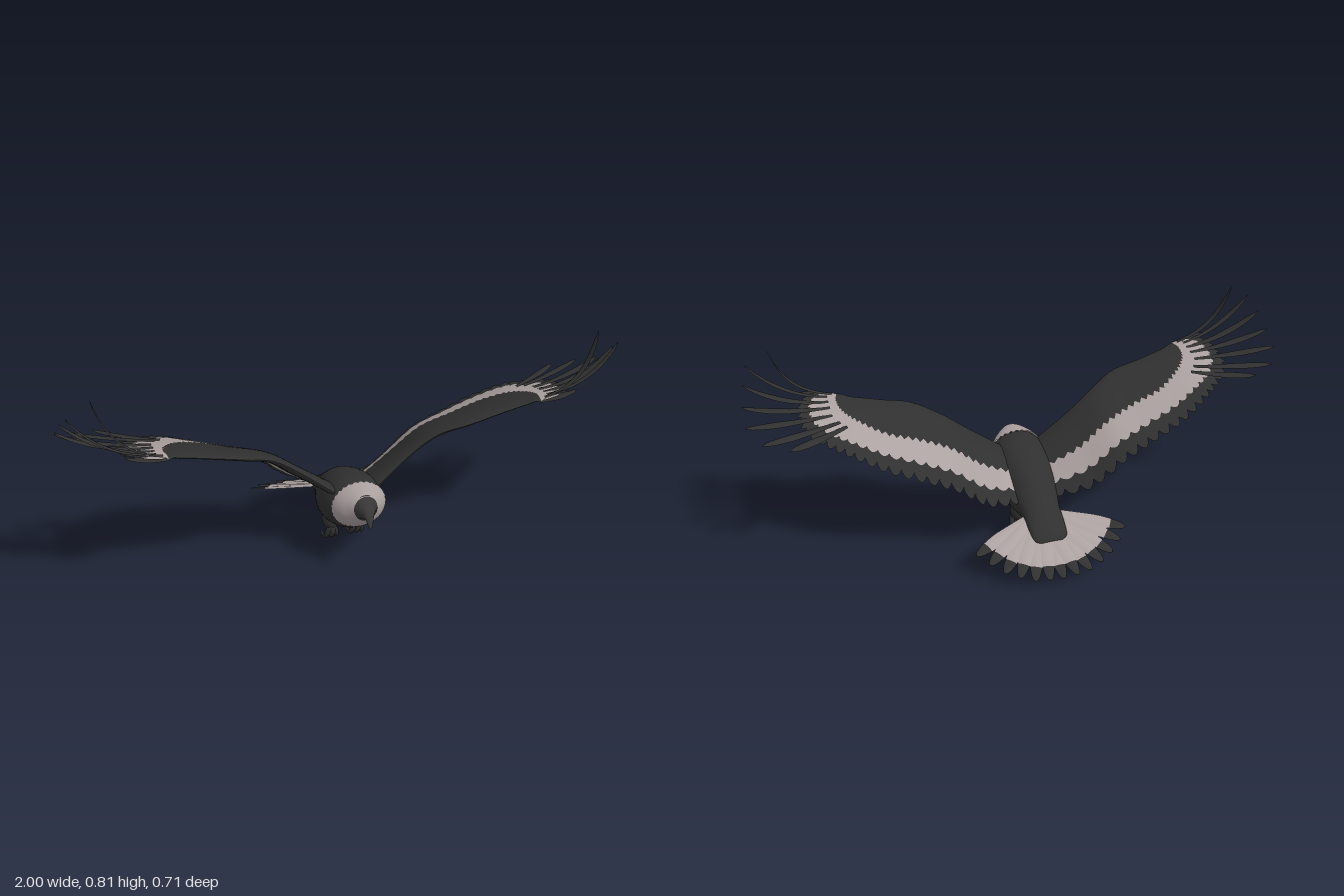
import * as THREE from 'three';
import { mergeVertices } from 'three/addons/utils/BufferGeometryUtils.js';

const V = (x, y, z) => new THREE.Vector3(x, y, z);
const mat = (name, color) =>
  Object.assign(new THREE.MeshStandardMaterial({ color, side: THREE.DoubleSide }), { name });

// Smooth interpolation through the rows of a small table, u in 0..1
function sample(tab, u) {
  const f = u * (tab.length - 1), i = Math.min(Math.floor(f), tab.length - 2), t = f - i;
  const row = k => tab[Math.max(0, Math.min(tab.length - 1, k))];
  const [a, b, c, d] = [row(i - 1), row(i), row(i + 1), row(i + 2)];
  return b.map((_, k) => b[k] + 0.5 * t * (c[k] - a[k] + t * (2 * a[k] - 5 * b[k] + 4 * c[k] - d[k]
    + t * (3 * (b[k] - c[k]) + d[k] - a[k]))));
}

// Smooth surface from a rule fn(u, v)
function surface(name, fn, nu, nv, material, flip = false) {
  const pos = [], idx = [];
  for (let i = 0; i <= nu; i++)
    for (let j = 0; j <= nv; j++) pos.push(...fn(i / nu, j / nv).toArray());
  for (let i = 0; i < nu; i++)
    for (let j = 0; j < nv; j++) {
      const a = i * (nv + 1) + j, b = a + 1, c = a + nv + 1, d = c + 1;
      idx.push(...(flip ? [a, c, b, b, c, d] : [a, b, c, b, d, c]));
    }
  let geo = new THREE.BufferGeometry();
  geo.setAttribute('position', new THREE.Float32BufferAttribute(pos, 3));
  geo.setIndex(idx);
  geo = mergeVertices(geo, 1e-5);
  geo.computeVertexNormals();
  const mesh = new THREE.Mesh(geo, material);
  mesh.name = name;
  return mesh;
}

// Rings along z; rows are [z, top, bottom, halfWidth]
function loft(name, tab, material, frill = 0) {
  return surface(name, (u, v) => {
    const [z, top, bot, w] = sample(tab, u), a = v * Math.PI * 2 - Math.PI / 2;
    const edge = frill * Math.max(0, 1 - u * 8) * Math.cos(v * Math.PI * 56);
    return V(w * Math.cos(a), (top + bot) / 2 + (top - bot) / 2 * Math.sin(a), z - 0.012 * Math.sin(a) * Math.min(1, w / 0.1) + edge);
  }, 32, frill ? 112 : 32, material, true);
}

// Flat feather along a bent path, covering from..to of its length
function feather(name, a, b, c, up, width, material, from = 0, to = 1) {
  const path = new THREE.QuadraticBezierCurve3(a, b, c);
  return surface(name, (u, v) => {
    const t = from + (to - from) * u, s = v * 2 - 1;
    const across = path.getTangent(t).cross(up).normalize();
    const w = width * Math.min(1, 0.4 + t) * Math.sqrt(Math.max(0, 1 - t ** 5));
    return path.getPoint(t).addScaledVector(across, s * w).addScaledVector(up, 0.004 * (1 - s * s));
  }, 14, 4, material);
}

// Tapering curved limb through points
function limb(name, pts, r0, r1, material) {
  const path = new THREE.CatmullRomCurve3(pts), side = V(1, 0, 0);
  return surface(name, (u, v) => {
    const n = path.getTangent(u).cross(side).normalize(), a = v * Math.PI * 2;
    const r = r0 + (r1 - r0) * u;
    return path.getPoint(u).addScaledVector(side, r * Math.cos(a)).addScaledVector(n, r * Math.sin(a));
  }, 12, 10, material);
}

// Wing stations from root round to the tip: leading point, trailing point, pale band start and end
const STATIONS = [
  [0.07, 0.29, 0.20, 0.07, 0.19, -0.05, 0.58, 0.84],
  [0.20, 0.395, 0.19, 0.20, 0.24, -0.10, 0.56, 0.83],
  [0.30, 0.47, 0.205, 0.32, 0.335, -0.11, 0.55, 0.83],
  [0.40, 0.515, 0.245, 0.44, 0.395, -0.10, 0.57, 0.84],
  [0.50, 0.54, 0.25, 0.56, 0.45, -0.085, 0.57, 0.84],
  [0.58, 0.56, 0.255, 0.66, 0.50, -0.045, 0.50, 0.84],
  [0.62, 0.57, 0.26, 0.74, 0.53, 0.01, 0.40, 0.84],
  [0.64, 0.578, 0.265, 0.80, 0.555, 0.08, 0.25, 0.82],
  [0.65, 0.58, 0.268, 0.81, 0.575, 0.16, 0.13, 0.80],
  [0.655, 0.58, 0.272, 0.80, 0.59, 0.22, 0.08, 0.75],
  [0.66, 0.578, 0.275, 0.76, 0.60, 0.27, 0.06, 0.60],
];
const WING_UP = V(-0.45, 0.84, -0.3).normalize();
const FEATHERS = 28;

function wing(side, dark, pale) {
  const g = new THREE.Group();
  g.name = side > 0 ? 'leftWing' : 'rightWing';
  const m = p => V(p.x * side, p.y, p.z);
  const regions = [['wingCoverts', dark, 12], ['wingBand', pale, 5], ['wingTrailingFeathers', dark, 4]];
  for (const face of [1, -1])
    regions.forEach(([name, material, rows], k) => {
      g.add(surface(name + (face > 0 ? 'Upper' : 'Lower'), (u, v) => {
        const [px, py, pz, qx, qy, qz, t0, t1] = sample(STATIONS, u);
        // rounded feather ends along each boundary
        const lobe = (2 * ((u * FEATHERS) % 1) - 1) ** 2;
        const jag = Math.abs(2 * ((u * FEATHERS * 1.5) % 1) - 1);
        const edges = [0, t0 - 0.05 * jag * Math.min(1, t0 * 2), t1 - 0.05 * lobe, 1.03 - 0.09 * lobe];
        const t = edges[k] + (edges[k + 1] - edges[k]) * (k ? v : v * v);
        const tc = Math.min(t, 1);
        const thick = 0.055 * (1 - 0.75 * u) * Math.sqrt(tc) * (1 - tc) ** 1.4 + 0.0015 * tc;
        const camber = 0.05 * (1 - 0.8 * u) * tc * (1 - tc);
        const p = V(px, py, pz).lerp(V(qx, qy, qz), t);
        return m(p.addScaledVector(WING_UP, camber + face * thick));
      }, FEATHERS * 6, rows, material, (face > 0) === (side > 0)));
    });

  // Spread finger feathers: base, bend, tip
  const fingers = [
    [[0.68, 0.59, 0.262], [0.84, 0.62, 0.27], [0.885, 0.805, 0.235]],
    [[0.70, 0.59, 0.245], [0.86, 0.61, 0.265], [0.965, 0.755, 0.245]],
    [[0.70, 0.585, 0.215], [0.86, 0.595, 0.22], [0.985, 0.712, 0.185]],
    [[0.70, 0.58, 0.18], [0.87, 0.585, 0.175], [1.0, 0.658, 0.13]],
    [[0.70, 0.57, 0.14], [0.86, 0.575, 0.115], [1.0, 0.615, 0.06]],
    [[0.68, 0.56, 0.10], [0.82, 0.56, 0.05], [0.955, 0.58, -0.01]],
    [[0.66, 0.55, 0.08], [0.77, 0.545, 0.02], [0.87, 0.56, -0.04]],
    [[0.66, 0.578, 0.27], [0.72, 0.585, 0.285], [0.80, 0.605, 0.272]],
  ];
  fingers.forEach(([a, b, c], i) => g.add(feather('fingerFeather', m(V(...a)), m(V(...b)), m(V(...c)),
    V(-0.2 * side, 0.97, -0.1), i < 2 ? 0.014 : 0.019, dark)));
  return g;
}

function tail(dark, pale) {
  const g = new THREE.Group();
  g.name = 'tail';
  const n = 13;
  for (let i = 0; i < n; i++) {
    const s = (i / (n - 1)) * 2 - 1, a = s * 1.12, len = 0.265 + 0.035 * Math.abs(s);
    const lift = 0.003 * (i % 2);
    const at = k => {
      const x = 0.03 * s + Math.sin(a) * len * k * 0.95, z = -0.09 - Math.cos(a) * len * k;
      return V(x, 0.155 + (z + 0.09) * 0.43 + 0.015 * Math.abs(s) * k + lift, z);
    };
    const up = V(0, 0.92, -0.39);
    g.add(feather('tailFeather', at(0), at(0.5), at(1), up, 0.027, pale, 0, 0.8));
    g.add(feather('tailFeatherTip', at(0), at(0.5), at(1), up, 0.027, dark, 0.8, 1));
  }
  return g;
}

function leg(side, dark) {
  const g = new THREE.Group();
  g.name = side > 0 ? 'leftLeg' : 'rightLeg';
  const x = 0.05 * side;
  const thigh = new THREE.Mesh(new THREE.SphereGeometry(1, 20, 14), dark);
  thigh.name = 'thigh';
  thigh.scale.set(0.03, 0.042, 0.042);
  thigh.position.set(x, 0.09, 0.04);
  g.add(thigh);
  // Three curled front toes and one rear toe
  for (const k of [-1, 0, 1])
    g.add(limb('toe', [V(x, 0.08, 0.06), V(x + k * 0.015, 0.045, 0.068 - 0.006 * Math.abs(k)),
      V(x + k * 0.022, 0.017, 0.045), V(x + k * 0.024, 0.005 + 0.01 * Math.abs(k), 0.01 - 0.01 * Math.abs(k))], 0.016, 0.003, dark));
  g.add(limb('rearToe', [V(x, 0.08, 0.04), V(x, 0.05, 0.025), V(x, 0.042, 0.0), V(x, 0.05, -0.015)], 0.015, 0.003, dark));
  return g;
}

export function createModel() {
  const dark = mat('darkPlumage', 0x303030);
  const pale = mat('palePlumage', 0xaca1a1);
  const bare = mat('faceAndBeak', 0x393637);
  const model = new THREE.Group();
  model.name = 'bird';

  model.add(loft('body', [
    [-0.215, 0.112, 0.100, 0.04], [-0.20, 0.132, 0.098, 0.064], [-0.15, 0.168, 0.108, 0.07],
    [-0.09, 0.21, 0.103, 0.073], [-0.03, 0.258, 0.086, 0.086], [0.02, 0.29, 0.075, 0.1],
    [0.08, 0.316, 0.090, 0.112], [0.14, 0.331, 0.115, 0.116], [0.19, 0.335, 0.142, 0.11],
    [0.23, 0.331, 0.172, 0.094],
  ], dark));
  model.add(loft('ruff', [
    [0.222, 0.337, 0.166, 0.102], [0.24, 0.336, 0.178, 0.094], [0.26, 0.334, 0.196, 0.08],
    [0.28, 0.331, 0.215, 0.06], [0.297, 0.323, 0.234, 0.043],
  ], pale, 0.005));
  model.add(loft('faceAndHookedBeak', [
    [0.292, 0.326, 0.234, 0.045], [0.308, 0.315, 0.243, 0.034], [0.322, 0.301, 0.248, 0.024],
    [0.334, 0.287, 0.246, 0.017], [0.343, 0.271, 0.237, 0.012], [0.349, 0.252, 0.227, 0.008],
    [0.351, 0.232, 0.222, 0.002],
  ], bare));

  model.add(tail(dark, pale));
  for (const side of [1, -1]) model.add(wing(side, dark, pale), leg(side, dark));
  return model;
}
